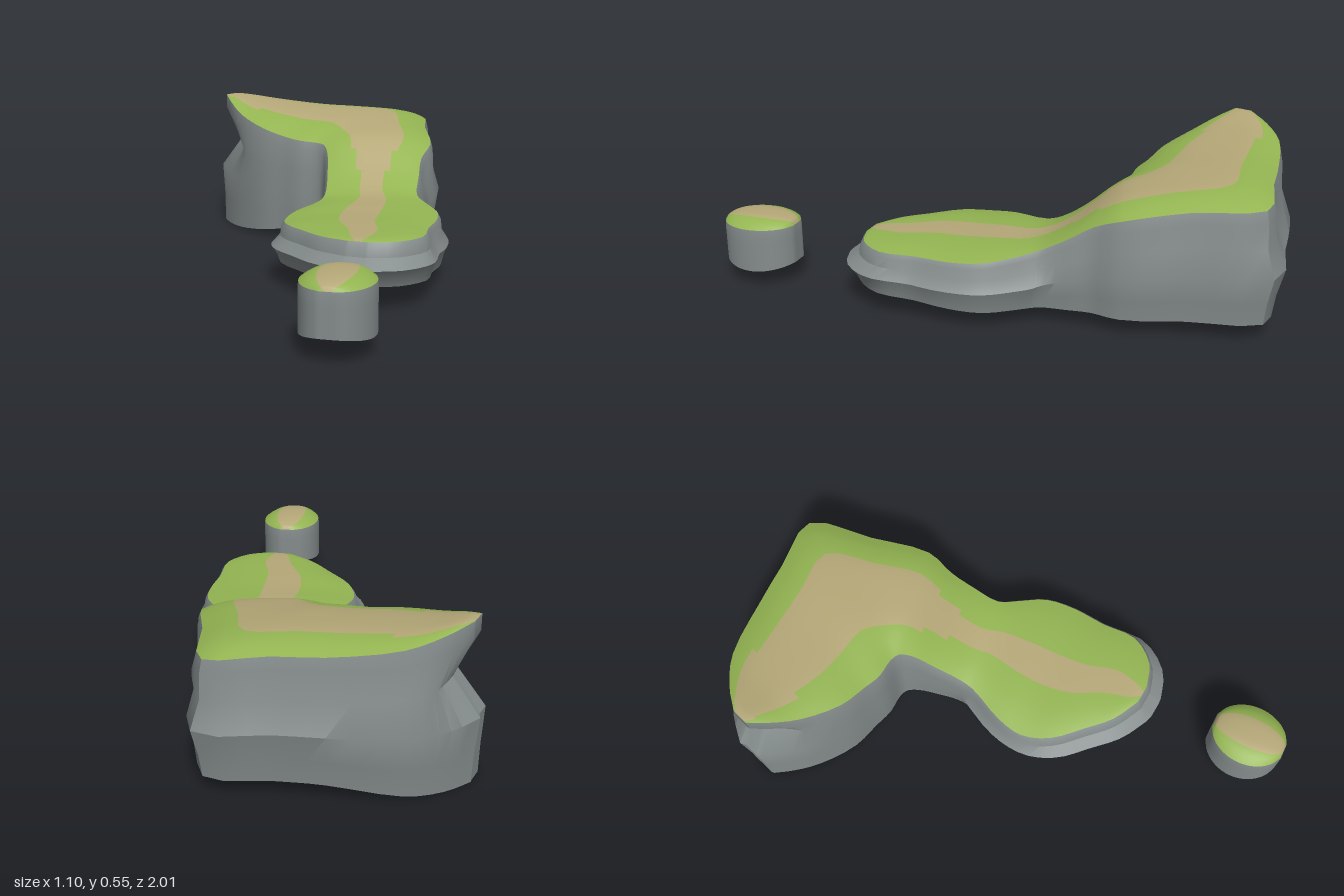
import * as THREE from 'three';
import { toCreasedNormals } from 'three/addons/utils/BufferGeometryUtils.js';

const { smoothstep, lerp, clamp } = THREE.MathUtils;
const material = (color) => new THREE.MeshStandardMaterial({ color, side: THREE.DoubleSide });
const ROCK = material(0x858c8c);
const GRASS = material(0x94b552);
const PATH = material(0xb5a878);
const COLS = 16, SUB = 3;

// How far a point belongs to the raised rear plateau (0 to 1).
const plateau = (z) => smoothstep(-z, 0.2, 0.5);

// Each row crosses the land from its +x edge to its -x edge: x, z, y of both ends.
const mainland = {
  rows: [
    [0.33, 0.44, 0.23, 0.26, 0.435, 0.23],
    [0.42, 0.41, 0.23, 0.16, 0.38, 0.225],
    [0.49, 0.32, 0.23, 0.08, 0.30, 0.22],
    [0.49, 0.19, 0.23, -0.01, 0.20, 0.215],
    [0.50, 0.06, 0.23, -0.045, 0.10, 0.21],
    [0.485, -0.05, 0.235, -0.03, 0, 0.22],
    [0.43, -0.14, 0.245, 0.03, -0.14, 0.235],
    [0.385, -0.21, 0.26, 0.035, -0.20, 0.255],
    [0.375, -0.31, 0.31, 0.02, -0.29, 0.31],
    [0.37, -0.40, 0.365, 0, -0.37, 0.375],
    [0.39, -0.50, 0.405, -0.025, -0.41, 0.40],
    [0.335, -0.71, 0.44, -0.06, -0.425, 0.405],
    [0.28, -0.945, 0.455, -0.13, -0.43, 0.41],
    [0.08, -0.94, 0.475, -0.20, -0.455, 0.42],
    [-0.09, -0.935, 0.48, -0.30, -0.49, 0.445],
    [-0.315, -0.91, 0.505, -0.42, -0.58, 0.485],
    [-0.43, -0.85, 0.53, -0.49, -0.66, 0.525],
    [-0.51, -0.78, 0.55, -0.53, -0.72, 0.55],
  ],
  lip: 0.01,
  crown: (mid) => lerp(0.04, 0.085, plateau(mid.z)),
  path: (mid) => lerp(0.14, 0.26, plateau(mid.z)) + 0.3 * clamp(-mid.x - 0.2, 0, 0.5),
  foot: (p) => 0.06 * smoothstep(p.x, -0.5, 0) + 0.025 * smoothstep(p.z, -0.1, 0.44),
  // The ledge flares all round the low end, but only at the back and +x of the plateau.
  flare: (p, out) => lerp(
    0.005 + 0.04 * Math.max(0, -out.z) + 0.015 * Math.max(0, out.x),
    0.03 + 0.025 * Math.max(0, out.z),
    smoothstep(p.z, -0.25, -0.05)),
};

// Small oval islet with straight sides and a wavy foot.
const islet = {
  rows: Array.from({ length: 9 }, (_, i) => {
    const a = lerp(0.25, Math.PI - 0.25, i / 8);
    const z = 0.858 + 0.141 * Math.cos(a), w = 0.116 * Math.sin(a);
    return [0.325 + w, z, 0.222, 0.325 - w, z, 0.222];
  }),
  lip: 0.002,
  crown: () => 0.145,
  path: () => 0.28,
  foot: (p) => 0.062 + 0.02 * ((p.z - 0.858) / 0.14) ** 2,
  flare: () => 0,
};

// Smooth the rows lengthwise, then arch the points across each row.
function makeGrid(land) {
  const edge = (s) => new THREE.CatmullRomCurve3(
    land.rows.map((r) => new THREE.Vector3(r[s], r[s + 2], r[s + 1])));
  const right = edge(0), left = edge(3);
  const n = (land.rows.length - 1) * SUB;
  return Array.from({ length: n + 1 }, (_, i) => {
    const a = right.getPoint(i / n), b = left.getPoint(i / n);
    const mid = a.clone().lerp(b, 0.5);
    // The end rows stay straight so the rim closes cleanly.
    const crown = i % n === 0 ? 0 : land.crown(mid) * a.distanceTo(b);
    return Array.from({ length: COLS + 1 }, (_, j) => {
      const p = a.clone().lerp(b, j / COLS);
      p.y += crown * (1 - Math.abs((2 * j) / COLS - 1) ** 3);
      return p;
    });
  });
}

function surface(points, index) {
  const g = new THREE.BufferGeometry().setFromPoints(points);
  g.setIndex(index);
  g.computeVertexNormals();
  return g;
}

// Top surface split into the worn path and the grass beside it, with shared normals.
function addTop(group, grid, land) {
  const w = COLS + 1, grass = [], path = [];
  for (let i = 0; i < grid.length - 1; i++) {
    const half = land.path(grid[i][COLS / 2]);
    for (let j = 0; j < COLS; j++) {
      const a = i * w + j;
      const onPath = Math.abs((j + 0.5) / COLS - 0.5) < half;
      (onPath ? path : grass).push(a, a + w, a + 1, a + 1, a + w, a + w + 1);
    }
  }
  const full = surface(grid.flat(), [...grass, ...path]);
  [['grass', grass, GRASS], ['path', path, PATH]].forEach(([name, index, mat]) => {
    const mesh = new THREE.Mesh(full.clone().setIndex(index), mat);
    mesh.name = name;
    group.add(mesh);
  });
}

// Cliff skirt around the rim: lip, upper wall, flared ledge, open foot.
function addCliff(group, grid, land) {
  const last = grid.length - 1;
  const rim = [
    ...grid.map((r) => r[0]),
    ...grid[last].slice(1, -1),
    ...grid.map((r) => r[COLS]).reverse(),
    ...grid[0].slice(1, -1).reverse(),
  ];
  const n = rim.length;
  const outward = rim.map((p, i) => {
    const t = rim[(i + 1) % n].clone().sub(rim[(i + n - 1) % n]);
    return new THREE.Vector3(-t.z, 0, t.x).normalize();
  });
  // [share of the drop, lip share, flare share, undercut of the tall tip]
  const rings = [
    [0, 0, 0, 0], [0.1, 1, 0, 0.01], [0.33, 1, 0.15, 0.08],
    [0.56, 1, 1, 0], [0.8, 1, 0.45, 0], [1, 1, 0.2, 0],
  ];
  const points = [], index = [];
  rings.forEach(([drop, lipShare, flareShare, undercut], k) => {
    rim.forEach((p, i) => {
      const reach = land.lip * lipShare + land.flare(p, outward[i]) * flareShare;
      const q = p.clone().addScaledVector(outward[i], reach);
      q.x += undercut * clamp((-p.x - 0.38) / 0.15, 0, 1);
      q.y = lerp(p.y, land.foot(p), drop);
      points.push(q);
      if (k === rings.length - 1) return;
      const a = k * n + i, b = k * n + ((i + 1) % n);
      index.push(a, a + n, b, b, a + n, b + n);
    });
  });
  const mesh = new THREE.Mesh(toCreasedNormals(surface(points, index), 0.6), ROCK);
  mesh.name = 'cliff';
  group.add(mesh);
}

function makeLand(name, land) {
  const group = new THREE.Group();
  group.name = name;
  const grid = makeGrid(land);
  addTop(group, grid, land);
  addCliff(group, grid, land);
  return group;
}

export function createModel() {
  const model = new THREE.Group();
  model.name = 'terrain';
  model.add(makeLand('mainland', mainland), makeLand('islet', islet));
  return model;
}
